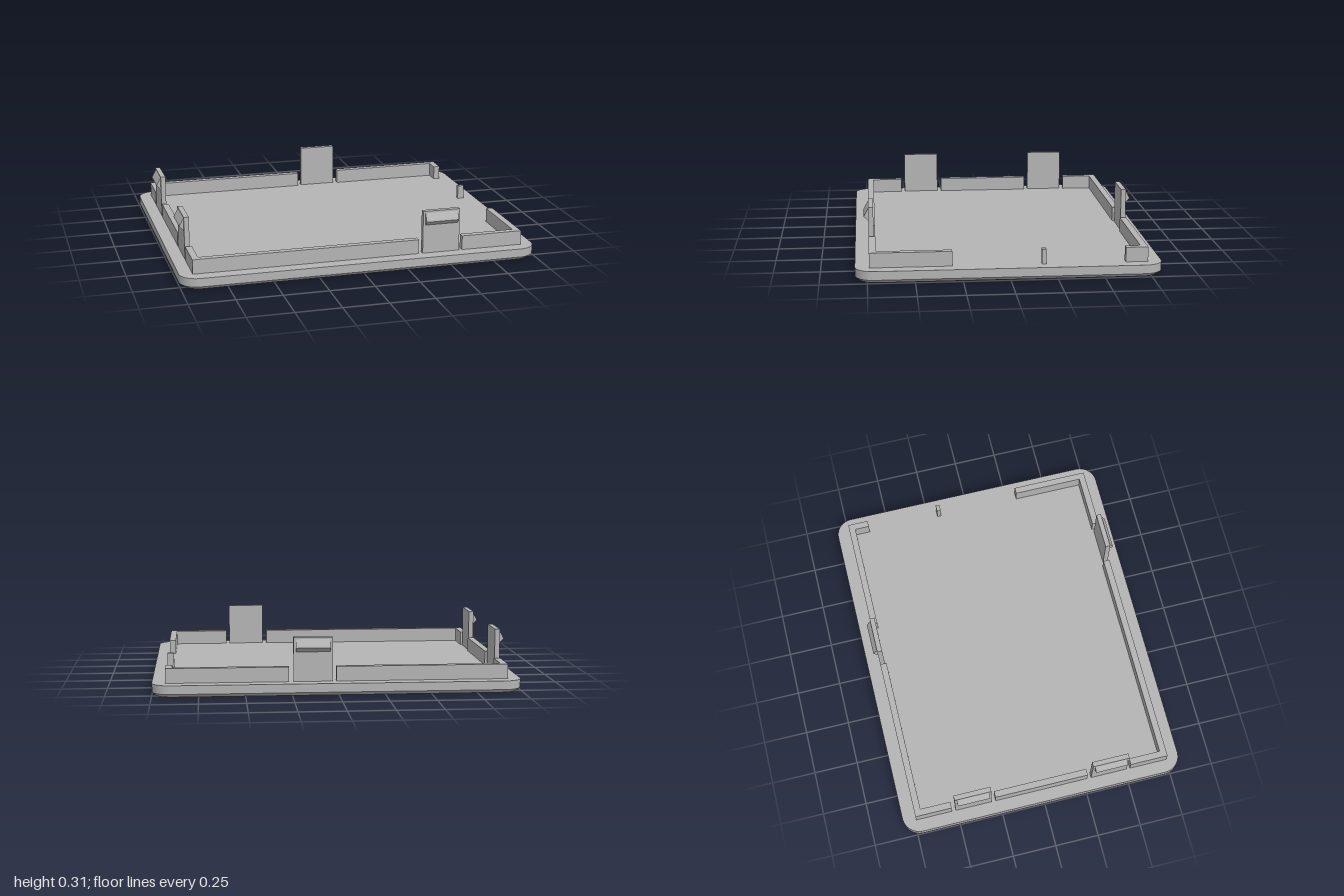
import * as THREE from 'three';
import { toCreasedNormals } from 'three/addons/utils/BufferGeometryUtils.js';

const BASE_TOP = 0.065, WALL_TOP = 0.145, CLIP_TOP = 0.305;

export function createModel() {
  const group = new THREE.Group();
  const plastic = new THREE.MeshStandardMaterial({ color: 0xb4b4b4 });
  plastic.name = 'grey plastic';

  const add = (name, geometry, parent = group) => {
    const mesh = new THREE.Mesh(geometry, plastic);
    mesh.name = name;
    parent.add(mesh);
    return mesh;
  };

  // Base plate: rounded rectangle, lowest layer drawn in for a chamfered underside
  const W = 1, D = 0.815, R = 0.1, CH = 0.018;
  const outline = new THREE.Shape();
  outline.absarc(W - R, D - R, R, 0, Math.PI / 2);
  outline.absarc(R - W, D - R, R, Math.PI / 2, Math.PI);
  outline.absarc(R - W, R - D, R, Math.PI, Math.PI * 1.5);
  outline.absarc(W - R, R - D, R, Math.PI * 1.5, Math.PI * 2);
  outline.closePath();
  const plate = new THREE.ExtrudeGeometry(outline, { depth: BASE_TOP, steps: 3, bevelEnabled: false, curveSegments: 10 });
  plate.rotateX(-Math.PI / 2);
  const p = plate.attributes.position;
  for (let i = 0; i < p.count; i++) {
    const y = p.getY(i);
    if (y < 0.001) {
      p.setX(i, p.getX(i) * (W - CH) / W);
      p.setZ(i, p.getZ(i) * (D - CH) / D);
    } else if (y < 0.03) p.setY(i, CH);
  }
  add('basePlate', toCreasedNormals(plate, 0.5));

  // Rim walls: footprints in (x, z) raised from the plate
  const wall = (name, points) => {
    const shape = new THREE.Shape(points.map(([x, z]) => new THREE.Vector2(x, -z)));
    const g = new THREE.ExtrudeGeometry(shape, { depth: WALL_TOP - BASE_TOP, bevelEnabled: false });
    g.rotateX(-Math.PI / 2).translate(0, BASE_TOP, 0);
    add(name, g);
  };
  const X = 0.928, Z = 0.74, T = 0.037;
  // L-shaped corner: sx, sz pick the corner; xEnd and zEnd are where its arms stop
  const corner = (name, sx, sz, xEnd, zEnd) => wall(name, [
    [sx * X, sz * Z], [xEnd, sz * Z], [xEnd, sz * (Z - T)],
    [sx * (X - T), sz * (Z - T)], [sx * (X - T), zEnd], [sx * X, zEnd],
  ]);
  corner('backRightRim', -1, -1, 0.008, -0.53);
  corner('backLeftRim', 1, -1, 0.265, -0.62);
  corner('frontRightRim', -1, 1, 0.327, 0.522);
  corner('frontLeftRim', 1, 1, 0.58, 0.303);
  const strip = (name, z0, z1, s) =>
    wall(name, [[s * X, z0], [s * X, z1], [s * (X - T), z1], [s * (X - T), z0]]);
  strip('rightRim', -0.275, 0.267, -1);
  strip('leftPost', -0.195, -0.172, 1);

  // Snap clips: upright tab with a wedge hook on its outer (+z) face
  const clip = (name, x, z, turn) => {
    const g = new THREE.Group();
    g.name = name;
    const h = CLIP_TOP - BASE_TOP, t = 0.028, hookWidth = 0.186;
    add('tab', new THREE.BoxGeometry(0.211, h, t).translate(0, BASE_TOP + h / 2, -t / 2), g);
    const profile = new THREE.Shape([[0, 0.226], [0.024, 0.25], [0.019, 0.262], [0, 0.295]]
      .map(([a, b]) => new THREE.Vector2(a, b)));
    const hook = new THREE.ExtrudeGeometry(profile, { depth: hookWidth, bevelEnabled: false });
    hook.rotateY(-Math.PI / 2).translate(hookWidth / 2, 0, 0);
    add('hook', hook, g);
    g.position.set(x, 0, z);
    g.rotation.y = turn;
    group.add(g);
  };
  clip('frontClip', 0.456, Z, 0);
  clip('backClip', 0.135, -Z, Math.PI);
  clip('rightBackClip', -X, -0.403, -Math.PI / 2);
  clip('rightFrontClip', -X, 0.396, -Math.PI / 2);

  return group;
}
